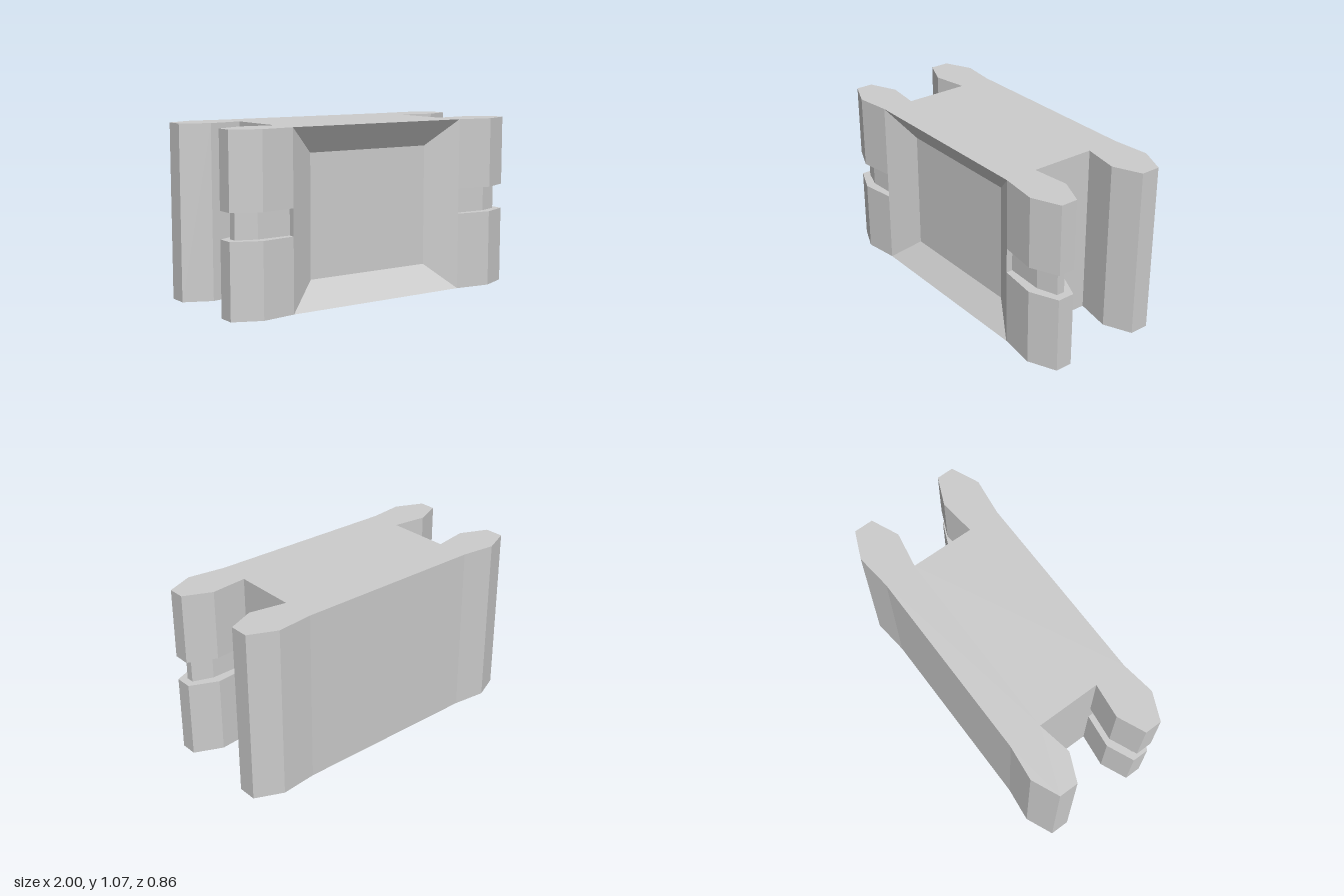
import * as THREE from 'three';
import { mergeGeometries } from 'three/addons/utils/BufferGeometryUtils.js';

const H = 1.065;
const material = new THREE.MeshStandardMaterial({ color: 0xcccccc, flatShading: true });

// Flat four-sided face, corners counter-clockwise from outside
function quad(a, b, c, d) {
  const g = new THREE.BufferGeometry();
  g.setAttribute('position', new THREE.Float32BufferAttribute([a, b, c, a, c, d].flat(), 3));
  g.computeVertexNormals();
  return g;
}

// Upright walls along a path of [x, z] points
function walls(path, y0, y1) {
  return path.slice(1).map(([qx, qz], i) => {
    const [px, pz] = path[i];
    return quad([px, y0, pz], [qx, y0, qz], [qx, y1, qz], [px, y1, pz]);
  });
}

// Level face with the given [x, z] outline, facing up or down
function level(outline, y, up) {
  const s = up ? -1 : 1;
  const shape = new THREE.Shape(outline.map(([x, z]) => new THREE.Vector2(x, s * z)));
  const g = new THREE.ShapeGeometry(shape).rotateX((s * Math.PI) / 2).translate(0, y, 0).toNonIndexed();
  g.deleteAttribute('uv');
  return g;
}

function part(name, geometries) {
  const mesh = new THREE.Mesh(mergeGeometries(geometries), material);
  mesh.name = name;
  return mesh;
}

// Arm outline and the thinner core inside its groove, root to root
const armOutline = (root, side) =>
  [[root, 0.4], [0.83, 0.43], [1, 0.355], [1, 0.25], [0.83, 0.175], [root, 0.2]].map(([x, z]) => [x * side, z]);
const coreOutline = (root, side) =>
  [[root, 0.36], [0.83, 0.37], [0.953, 0.327], [0.953, 0.277], [0.83, 0.235], [root, 0.24]].map(([x, z]) => [x * side, z]);

// Front arm cut by a groove that runs round it between g0 and g1
function groovedArm(name, root, side, g0, g1) {
  let arm = armOutline(root, side);
  let core = coreOutline(root, side);
  if (side < 0) {
    arm = arm.reverse();
    core = core.reverse();
  }
  const ledge = [...arm, ...[...core].reverse()];
  return part(name, [
    ...walls(arm, 0, g0),
    ...walls(arm, g1, H),
    ...walls([arm[0], ...core, arm[5]], g0, g1),
    level(ledge, g0, true),
    level(ledge, g1, false),
  ]);
}

export function createModel() {
  const group = new THREE.Group();
  const L = 0.6, R = 0.615;

  // Back slab with its two arms, and the sides of the web
  const back = [
    [L, 0.2], [0.605, -0.2], [0.83, -0.16], [1, -0.235], [1, -0.355], [0.83, -0.43], [L, -0.405],
    [-R, -0.405], [-0.83, -0.43], [-1, -0.355], [-1, -0.235], [-0.83, -0.16], [-R, -0.2], [-R, 0.2],
  ];
  group.add(part('backAndWeb', walls(back, 0, H)));

  // Grooved front arms
  group.add(groovedArm('leftFrontArm', L, 1, 0.475, 0.632));
  group.add(groovedArm('rightFrontArm', R, -1, 0.45, 0.61));

  // Top and bottom
  const outline = [...armOutline(L, 1), ...back.slice(1, -1), ...armOutline(R, -1).reverse()];
  group.add(part('top', [level(outline, H, true)]));
  group.add(part('bottom', [level(outline, 0, false)]));

  // Front recess: four sloping sides and a flat floor
  const rim = [[-R, 0, 0.4], [L, 0, 0.4], [L, H, 0.4], [-R, H, 0.4]];
  const floor = [[-0.43, 0.16, 0.29], [0.41, 0.16, 0.29], [0.41, 0.905, 0.29], [-0.43, 0.905, 0.29]];
  const slopes = rim.map((p, i) => {
    const j = (i + 1) % 4;
    return quad(p, rim[j], floor[j], floor[i]);
  });
  group.add(part('frontRecess', [...slopes, quad(...floor)]));

  return group;
}
